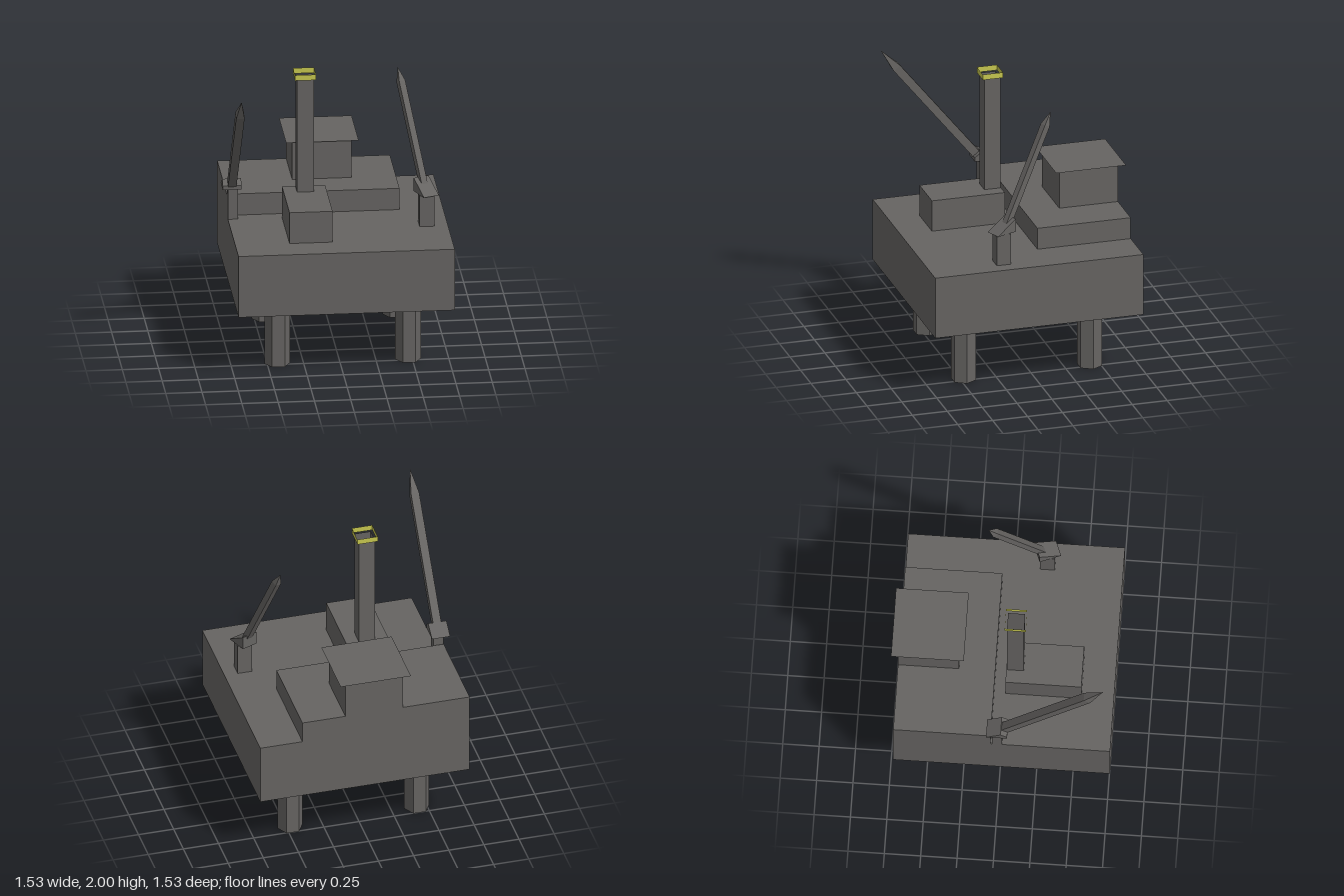
import * as THREE from 'three';

const steel = new THREE.MeshStandardMaterial({ color: 0x666462, flatShading: true, side: THREE.DoubleSide });
steel.name = 'steel grey';
const yellow = new THREE.MeshStandardMaterial({ color: 0xc8c850, flatShading: true, side: THREE.DoubleSide });
yellow.name = 'safety yellow';

export function createModel() {
  const root = new THREE.Group();
  root.name = 'offshorePlatform';

  function add(name, geometry, parent = root, material = steel) {
    const mesh = new THREE.Mesh(geometry, material);
    mesh.name = name;
    parent.add(mesh);
    return mesh;
  }

  // Box given by its limits on each axis
  function block(name, x0, x1, y0, y1, z0, z1) {
    const g = new THREE.BoxGeometry(x1 - x0, y1 - y0, z1 - z0);
    g.translate((x0 + x1) / 2, (y0 + y1) / 2, (z0 + z1) / 2);
    return add(name, g);
  }

  // Open-ended square tube
  function squareTube(name, width, x, z, y0, y1, material) {
    const r = width / Math.SQRT2;
    const g = new THREE.CylinderGeometry(r, r, y1 - y0, 4, 1, true);
    g.rotateY(Math.PI / 4).translate(x, (y0 + y1) / 2, z);
    return add(name, g, root, material);
  }

  // Hull and deck buildings
  block('hull', -0.725, 0.765, 0.45, 0.895, -0.725, 0.765);
  block('lowerDeckhouse', -0.725, 0.465, 0.895, 1.05, -0.725, -0.057);
  block('upperDeckhouse', -0.25, 0.16, 1.05, 1.33, -0.725, -0.305);
  block('derrickBase', -0.352, -0.055, 0.895, 1.12, 0.02, 0.542);

  // Landing pad: a single thin sheet
  const pad = new THREE.PlaneGeometry(0.5, 0.5);
  pad.rotateX(-Math.PI / 2).translate(-0.045, 1.331, -0.52);
  add('landingPad', pad);

  // Derrick with its yellow rim
  squareTube('derrick', 0.115, -0.2025, 0.0825, 1.12, 1.94, steel);
  squareTube('derrickRim', 0.145, -0.2025, 0.0825, 1.94, 1.98, yellow);

  // Hexagonal legs, open at the ends
  for (const x of [-0.43, 0.472]) {
    for (const z of [-0.428, 0.475]) {
      const leg = new THREE.CylinderGeometry(0.089, 0.089, 0.45, 6, 1, true);
      leg.rotateY(Math.PI / 2).translate(x, 0.225, z);
      add('leg', leg);
    }
  }

  // Crane: pedestal, cab that may be chamfered at the front, and pointed boom
  function crane(name, c) {
    const group = new THREE.Group();
    group.name = name;
    group.position.set(c.x, 0, c.z);
    root.add(group);

    const post = new THREE.BoxGeometry(c.post, c.cabBottom - 0.895, c.post);
    post.translate(c.postShift, (0.895 + c.cabBottom) / 2, 0);
    add(name + 'Pedestal', post, group);

    const turret = new THREE.Group();
    turret.name = name + 'Turret';
    turret.rotation.y = c.heading;
    group.add(turret);

    const h = c.length / 2;
    const points = [[-h, c.cabBottom], [h, c.cabBottom]];
    if (c.chamfer) points.push([h, c.cabTop - 0.035], [h - 0.045, c.cabTop]);
    else points.push([h, c.cabTop]);
    const side = new THREE.Shape(points.map(([z, y]) => new THREE.Vector2(z, y)));
    const cab = new THREE.ExtrudeGeometry(side, { depth: c.width, bevelEnabled: false });
    cab.translate(0, 0, -c.width / 2).rotateY(-Math.PI / 2);
    add(name + 'Cab', cab, turret);

    const boom = new THREE.Group();
    boom.name = name + 'Boom';
    boom.position.set(0, c.boomY, 0.0425);
    boom.rotation.x = c.tilt;
    turret.add(boom);
    const arm = new THREE.BoxGeometry(c.boom, c.reach, c.boom);
    add(name + 'Arm', arm.translate(0, c.reach / 2, 0), boom);
    const tip = new THREE.CylinderGeometry(0, c.boom / Math.SQRT2, c.tip, 4, 1, true);
    tip.rotateY(Math.PI / 4).translate(0, c.reach + c.tip / 2, 0);
    add(name + 'Tip', tip, boom);
  }

  crane('rightCrane', {
    x: -0.699, z: -0.0125, heading: 0, post: 0.07, postShift: 0.009,
    cabBottom: 1.125, cabTop: 1.19, width: 0.13, length: 0.145, chamfer: true,
    boomY: 1.155, boom: 0.058, reach: 0.917, tip: 0.173, tilt: 0.68,
  });
  crane('leftCrane', {
    x: 0.62, z: 0.245, heading: Math.atan2(-0.37, -0.93), post: 0.102, postShift: 0,
    cabBottom: 1.12, cabTop: 1.215, width: 0.114, length: 0.155, chamfer: false,
    boomY: 1.17, boom: 0.046, reach: 0.728, tip: 0.1, tilt: 0.483,
  });

  return root;
}
